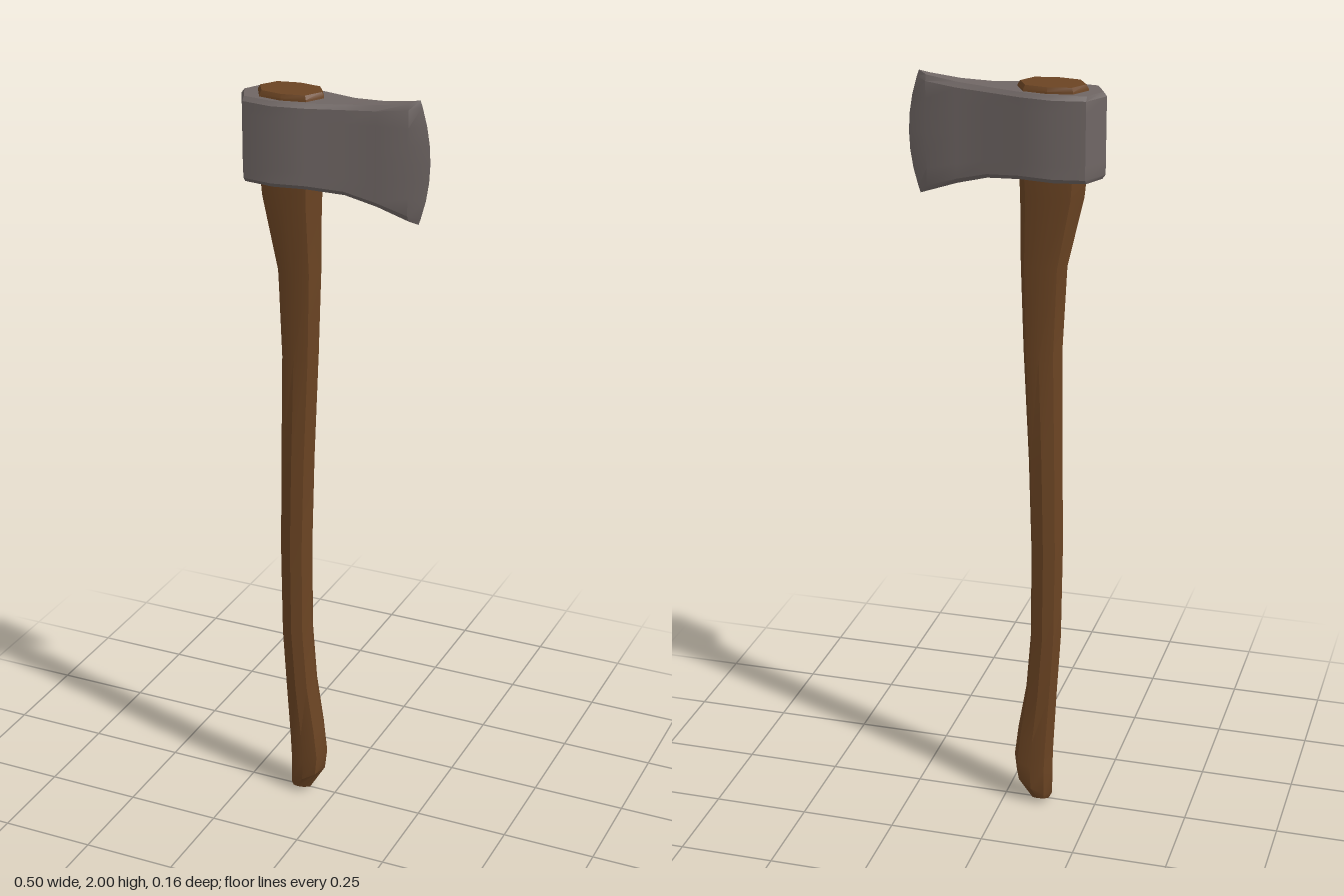
import * as THREE from 'three';
import { toCreasedNormals } from 'three/addons/utils/BufferGeometryUtils.js';

// Skins closed rings (listed bottom to top, each running from the +x tip over the back to the front)
function loft(rings) {
  const pos = [];
  const n = rings[0].length;
  const quad = (a, b, c, d) => pos.push(...a, ...b, ...c, ...a, ...c, ...d);
  for (let i = 0; i < rings.length - 1; i++) {
    for (let j = 0; j < n; j++) {
      const k = (j + 1) % n;
      quad(rings[i][j], rings[i][k], rings[i + 1][k], rings[i + 1][j]);
    }
  }
  // End caps, as strips joining the back half to the front half
  const low = rings[0], top = rings[rings.length - 1];
  for (let k = 0; k < n / 2; k++) {
    const m = (n - k) % n;
    quad(top[k], top[k + 1], top[n - k - 1], top[m]);
    quad(low[m], low[n - k - 1], low[k + 1], low[k]);
  }
  const g = new THREE.BufferGeometry();
  g.setAttribute('position', new THREE.Float32BufferAttribute(pos, 3));
  return toCreasedNormals(g, 0.5);
}

// Adds the mirrored front half to the back half of a ring
const mirrorRing = (half) => [
  ...half,
  ...half.slice(1, -1).reverse().map(([x, y, z]) => [x, y, -z]),
];

// Octagonal handle: back edge x, y; front edge x, y; half thickness
function handleGeometry() {
  const stations = [
    [-0.12, 0.0, -0.075, 0.0, 0.034],
    [-0.13, 0.02, -0.03, 0.075, 0.043],
    [-0.13, 0.1, -0.024, 0.125, 0.043],
    [-0.132, 0.17, -0.034, 0.21, 0.043],
    [-0.14, 0.33, -0.056, 0.34, 0.043],
    [-0.15, 0.5, -0.068, 0.5, 0.043],
    [-0.153, 0.75, -0.068, 0.75, 0.043],
    [-0.15, 1.0, -0.06, 1.0, 0.043],
    [-0.146, 1.3, -0.045, 1.3, 0.043],
    [-0.157, 1.53, -0.037, 1.53, 0.044],
    [-0.198, 1.71, -0.035, 1.71, 0.054],
    [-0.205, 1.78, -0.03, 1.78, 0.058],
    [-0.205, 1.98, -0.028, 1.98, 0.06],
    [-0.199, 1.99, -0.034, 1.99, 0.055],
  ];
  const octagon = [[1, 0], [0.7, 0.8], [0, 1], [-0.7, 0.8], [-1, 0]];
  return loft(stations.map(([xl, yl, xr, yr, hz], i) => mirrorRing(
    octagon.map(([u, w]) => {
      const t = (u + 1) / 2;
      const lift = i === 0 ? 0.015 * w : 0;
      return [xl + (xr - xl) * t, yl + (yr - yl) * t + lift, -hz * w];
    }))));
}

// Axe head: x, half thickness, bottom y, top y, from cutting edge to poll
function headGeometry() {
  const columns = [
    [0.25, 0, 1.69, 2.0],
    [0.2, 0.02, 1.7, 1.992],
    [0.12, 0.029, 1.728, 1.981],
    [0.04, 0.04, 1.75, 1.976],
    [-0.05, 0.066, 1.76, 1.975],
    [-0.135, 0.08, 1.76, 1.975],
    [-0.215, 0.067, 1.76, 1.975],
    [-0.25, 0, 1.76, 1.975],
  ];
  const levels = [0, 0.05, 0.2, 0.35, 0.5, 0.65, 0.8, 0.95, 1];
  return loft(levels.map((t) => {
    const cap = t === 0 || t === 1;
    return mirrorRing(columns.map(([x, hz, y0, y1], i) => {
      // The cutting edge bows forward; the rims are slightly bevelled
      const bow = i === 0 ? 0.028 * (2 * t - 1) ** 2 : 0;
      const poll = cap && i === columns.length - 1 ? 0.008 : 0;
      const inset = cap ? Math.min(0.009, hz * 0.35) : 0;
      return [x - bow + poll, y0 + (y1 - y0) * t, -(hz - inset)];
    }));
  }));
}

export function createModel() {
  const wood = new THREE.MeshStandardMaterial({ color: 0x6b4423 });
  wood.name = 'brown wood';
  const steel = new THREE.MeshStandardMaterial({ color: 0x6f6664 });
  steel.name = 'grey steel';

  const axe = new THREE.Group();
  axe.name = 'axe';
  const handle = new THREE.Mesh(handleGeometry(), wood);
  handle.name = 'handle';
  const head = new THREE.Mesh(headGeometry(), steel);
  head.name = 'axeHead';
  axe.add(handle, head);
  return axe;
}
